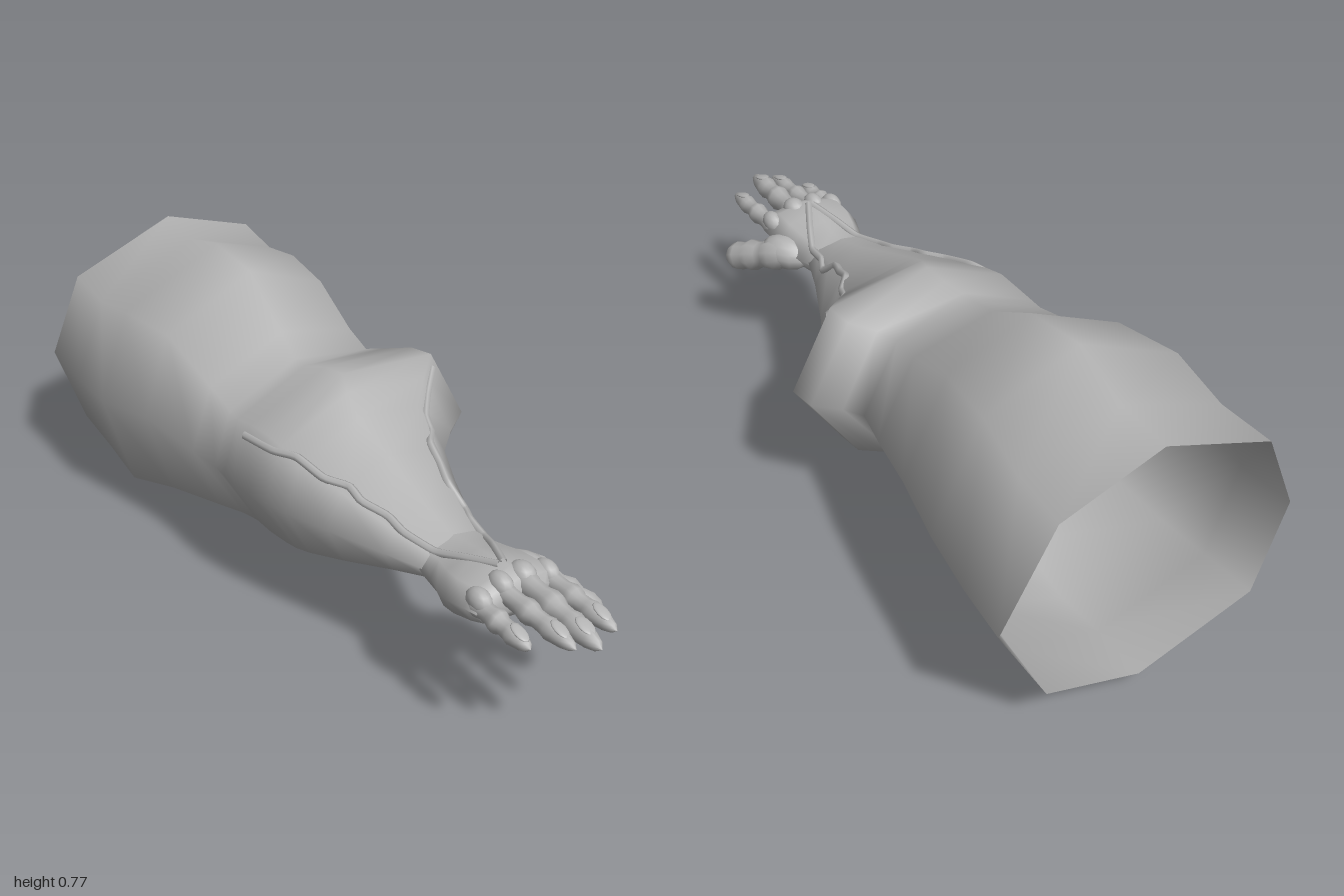
import * as THREE from 'three';

const skin = new THREE.MeshStandardMaterial({ color: 0xb4b4b4, side: THREE.DoubleSide });
skin.name = 'plain grey';

// eight directions round a section, starting at +x: even octagon and elbow shape
const ROUND = [[1, 0], [.66, .74], [0, 1], [-.76, .65], [-1, 0], [-.8, -.72], [0, -1], [.66, -.74]];
const ELBOW = [[1, .05], [.67, .9], [-.16, 1], [-.84, .6], [-1, -.05], [-.69, -.8], [0, -1], [.61, -.75]];

// sections along the arm: z, left edge, right edge, bottom, top, share of elbow shape
const ARM = [
  [-.99, -.4, .41, .06, .735, 0], [-.82, -.405, .385, .04, .725, 0],
  [-.65, -.412, .36, .003, .775, 0], [-.47, -.37, .325, .06, .755, 0],
  [-.29, -.325, .285, .11, .65, .4], [-.19, -.315, .265, .145, .615, .7],
  [-.145, -.315, .3, .147, .615, 1], [-.09, -.315, .36, .132, .628, 1],
  [-.02, -.312, .373, .135, .635, 1], [.04, -.3, .29, .155, .615, .9],
  [.11, -.285, .215, .185, .58, .7], [.24, -.245, .15, .235, .53, .4],
  [.4, -.19, .08, .3, .465, .2], [.51, -.158, .042, .342, .435, 0],
];
const PALM = [
  [.49, -.16, .045, .338, .438, 0], [.54, -.155, .05, .312, .442, 0],
  [.59, -.175, .062, .305, .452, 0], [.64, -.188, .075, .32, .46, 0],
  [.7, -.183, .077, .335, .465, 0], [.735, -.175, .072, .35, .45, 0],
  [.75, -.14, .045, .375, .43, 0],
];

function section([z, l, r, b, t, w]) {
  return ROUND.map(([u, v], i) => {
    const x = u + (ELBOW[i][0] - u) * w, y = v + (ELBOW[i][1] - v) * w;
    return [(l + r) / 2 + x * (r - l) / 2, (b + t) / 2 + y * (t - b) / 2, z];
  });
}

// skin a row of sections, with an optional cap on the front end
function loft(rows, capped) {
  const pos = rows.flatMap(r => section(r).flat()), idx = [];
  for (let j = 0; j < rows.length - 1; j++) for (let i = 0; i < 8; i++) {
    const a = j * 8 + i, b = j * 8 + (i + 1) % 8;
    idx.push(a, b, b + 8, a, b + 8, a + 8);
  }
  if (capped) {
    const n = (rows.length - 1) * 8;
    for (let i = 1; i < 7; i++) idx.push(n, n + i, n + i + 1);
  }
  const g = new THREE.BufferGeometry();
  g.setAttribute('position', new THREE.Float32BufferAttribute(pos, 3));
  g.setIndex(idx);
  g.computeVertexNormals();
  return g;
}

// height of the upper or lower skin at a given x and z
function skinHeight(x, z, upper) {
  const rows = z > .51 ? PALM : ARM;
  let j = 0;
  while (j < rows.length - 2 && rows[j + 1][0] < z) j++;
  const f = (z - rows[j][0]) / (rows[j + 1][0] - rows[j][0]);
  const ring = section(rows[j].map((v, k) => v + (rows[j + 1][k] - v) * f));
  const half = upper ? ring.slice(0, 5).reverse() : ring.slice(4).concat([ring[0]]);
  for (let i = 0; i < 4; i++) {
    const [x0, y0] = half[i], [x1, y1] = half[i + 1];
    if (x <= x1) return y0 + (y1 - y0) * Math.max(0, (x - x0) / (x1 - x0));
  }
  return half[4][1];
}

export function createModel() {
  const model = new THREE.Group();
  const add = (name, geo) => {
    const m = new THREE.Mesh(geo, skin);
    m.name = name;
    model.add(m);
    return m;
  };

  add('arm', loft(ARM, false));
  add('palm', loft(PALM, true));

  // jointed digit: a lathe with swollen knuckles, laid from base to tip
  const PROFILE = [[.85, 0], [1, .08], [.8, .2], [.82, .32], [1.02, .4], [.98, .46], [.76, .52],
    [.78, .62], [.92, .68], [.8, .76], [.66, .86], [.4, .95], [0, 1]];
  const digit = (name, base, tip, radius, flat, profile = PROFILE) => {
    const from = new THREE.Vector3(...base), dir = new THREE.Vector3(...tip).sub(from);
    const len = dir.length();
    const g = new THREE.LatheGeometry(profile.map(([r, t]) => new THREE.Vector2(r * radius, t * len)), 10);
    g.scale(1, 1, flat);
    const m = add(name, g);
    m.position.copy(from);
    m.quaternion.setFromUnitVectors(new THREE.Vector3(0, 1, 0), dir.normalize());
    return m;
  };
  const ball = (name, p, s) => {
    const m = add(name, new THREE.SphereGeometry(1, 12, 8));
    m.position.set(...p);
    m.scale.set(...s);
    return m;
  };

  // fingers: base x, base y, tip x, tip y, tip z
  [['littleFinger', -.15, .405, -.148, .392, .895], ['ringFinger', -.09, .425, -.083, .41, .968],
    ['middleFinger', -.026, .428, -.037, .41, 1], ['indexFinger', .047, .405, .05, .395, .955],
  ].forEach(([name, bx, by, tx, ty, tz], i) => {
    const r = i === 2 ? .033 : .028;
    digit(name, [bx, by, .7], [tx, ty, tz], r, 1.1);
    ball(name + 'Knuckle', [bx, by + .012, .715], [r * .95, .032, .04]);
    // nail plate on the upper side of the tip
    const k = .8, nail = ball(name + 'Nail',
      [bx + (tx - bx) * k, by + (ty - by) * k + r * .72, .7 + (tz - .7) * k], [r * .55, .005, .03]);
    nail.rotation.x = .28;
  });

  // thumb with its fleshy base
  ball('thumbBase', [.052, .365, .625], [.055, .05, .08]).rotation.y = .5;
  digit('thumb', [.065, .37, .61], [.155, .288, .805], .048, 1,
    [[.8, 0], [1, .15], [.85, .3], [.78, .42], [.98, .54], [.8, .66], [.9, .78], [.78, .88], [.48, .96], [0, 1]]);

  // raised tendons and veins that follow the skin
  const vein = (name, points, upper, radius) => {
    const path = new THREE.CatmullRomCurve3(points.map(([x, z]) =>
      new THREE.Vector3(x, skinHeight(x, z, upper), z)), false, 'catmullrom', .25);
    add(name, new THREE.TubeGeometry(path, points.length * 5, radius, 6));
  };
  vein('leftTendon', [[-.055, .68], [-.01, .59], [.02, .52], [.03, .45], [.052, .4], [.045, .34], [.065, .28],
    [.08, .22], [.12, .17], [.14, .12], [.19, .06], [.25, 0]], true, .011);
  vein('rightTendon', [[-.065, .68], [-.095, .59], [-.12, .51], [-.145, .42], [-.15, .36], [-.178, .29],
    [-.18, .24], [-.215, .18], [-.235, .09], [-.26, .02], [-.272, -.1]], true, .011);
  vein('leftLowerVein', [[-.04, .5], [-.03, .43], [-.015, .36], [-.03, .31], [-.01, .25], [-.008, .19]], false, .011);
  vein('rightLowerVein', [[-.08, .48], [-.1, .42], [-.09, .36], [-.105, .3], [-.125, .26]], false, .009);

  return model;
}
